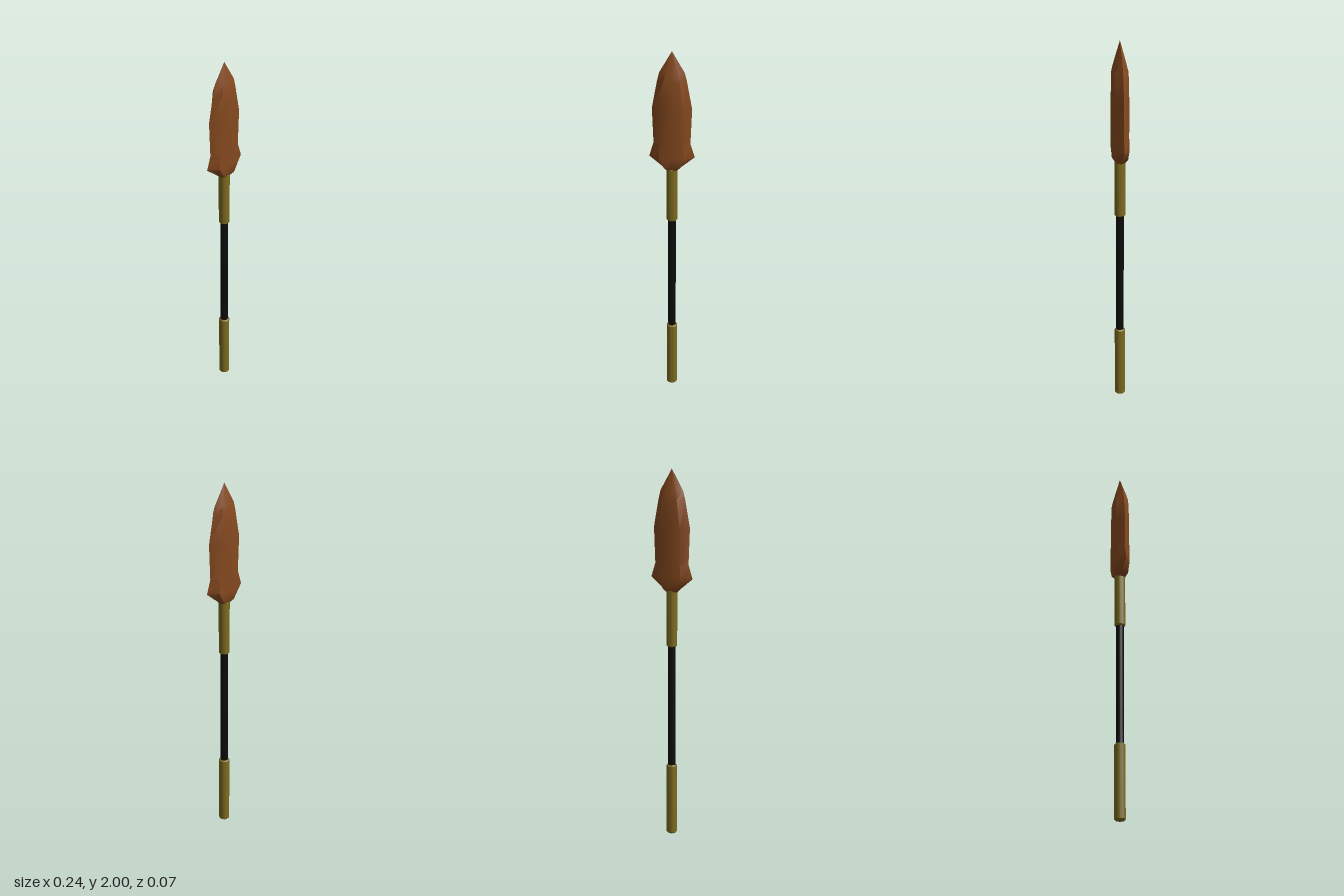
import * as THREE from 'three';
import { toCreasedNormals } from 'three/addons/utils/BufferGeometryUtils.js';

const material = (color) => new THREE.MeshStandardMaterial({ color });

// Loft the blade through eight-sided sections: cutting edges at z = 0, flat faces front and back
function bladeGeometry() {
  // y, half width, half width of the flat, half thickness
  const rows = [
    [1.36, 0.032, 0.02, 0.02],
    [1.38, 0.052, 0.035, 0.036],
    [1.435, 0.118, 0.065, 0.036],
    [1.51, 0.095, 0.06, 0.036],
    [1.7, 0.102, 0.06, 0.036],
    [1.845, 0.075, 0.042, 0.036],
    [1.89, 0.064, 0.032, 0.026],
    [2.0, 0.0005, 0.0003, 0.0003],
  ];
  const n = 8, positions = [], index = [];
  for (const [y, w, f, t] of rows) {
    const ring = [[w, 0], [f, t], [0, t], [-f, t], [-w, 0], [-f, -t], [0, -t], [f, -t]];
    for (const [x, z] of ring) positions.push(x, y, z);
  }
  for (let r = 0; r < rows.length - 1; r++) {
    for (let i = 0; i < n; i++) {
      const a = r * n + i, b = r * n + (i + 1) % n;
      index.push(a, a + n, b, b, a + n, b + n);
    }
  }
  // End caps
  const top = (rows.length - 1) * n;
  for (let i = 1; i < n - 1; i++) {
    index.push(0, i, i + 1);
    index.push(top, top + i + 1, top + i);
  }
  const geometry = new THREE.BufferGeometry();
  geometry.setAttribute('position', new THREE.Float32BufferAttribute(positions, 3));
  geometry.setIndex(index);
  return toCreasedNormals(geometry, 0.8);
}

// Round rod from y0 to y1 with small chamfers at both ends
function rodGeometry(radius, y0, y1, chamfer) {
  const profile = [
    [0, y0], [radius - chamfer, y0], [radius, y0 + chamfer],
    [radius, y1 - chamfer], [radius - chamfer, y1], [0, y1],
  ].map(([x, y]) => new THREE.Vector2(x, y));
  return toCreasedNormals(new THREE.LatheGeometry(profile, 20), 0.6);
}

export function createModel() {
  const group = new THREE.Group();
  const add = (name, geometry, mat) => {
    const mesh = new THREE.Mesh(geometry, mat);
    mesh.name = name;
    group.add(mesh);
  };
  const brass = material(0x7d6b20);

  add('blade', bladeGeometry(), material(0x85491f));
  add('shaft', rodGeometry(0.021, 0.02, 1.37, 0.002), material(0x0c0c0c));
  add('lowerGrip', rodGeometry(0.029, 0, 0.4, 0.006), brass);
  add('upperSocket', rodGeometry(0.029, 1.065, 1.375, 0.006), brass);
  return group;
}
